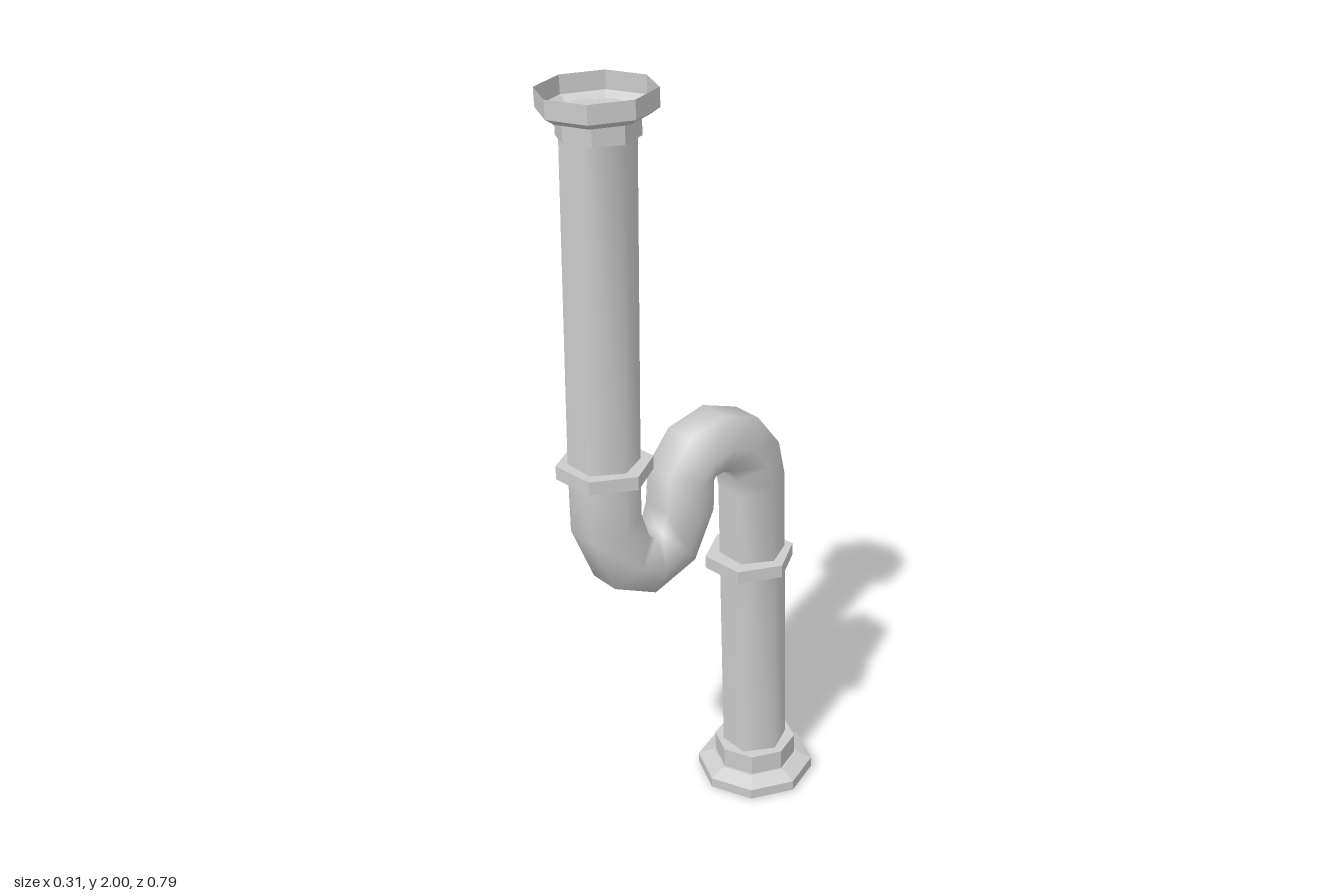
import * as THREE from 'three';

const SIDES = 6;
const PIPE_RADIUS = 0.085;
const LEAN = 0.036;

const smooth = new THREE.MeshStandardMaterial({ color: 0xcccccc, side: THREE.DoubleSide });
const faceted = new THREE.MeshStandardMaterial({ color: 0xcccccc, flatShading: true, side: THREE.DoubleSide });

// Centre line of the pipe as [z, y], from the upper end to the lower end
const path = [
  [0.255, 1.95], [0.26, 1.09], [0.258, 0.94], [0.213, 0.83], [0.14, 0.797], [0.068, 0.825],
  [0.03, 0.91], [0.026, 1.0], [-0.01, 1.045], [-0.075, 1.062], [-0.143, 1.04],
  [-0.19, 0.98], [-0.206, 0.907], [-0.236, 0.04],
].map(([z, y]) => new THREE.Vector3(0.003, y, z));

// Hexagonal section swept along the path in the YZ plane, mitred at each bend
function sweepPipe() {
  const positions = [], index = [];
  const row = SIDES + 1; // one extra column leaves a sharp seam
  const xAxis = new THREE.Vector3(1, 0, 0);
  path.forEach((p, i) => {
    const before = p.clone().sub(path[Math.max(i - 1, 0)]).normalize();
    const after = path[Math.min(i + 1, path.length - 1)].clone().sub(p).normalize();
    const tangent = before.clone().add(after).normalize();
    const side = new THREE.Vector3().crossVectors(tangent, xAxis);
    for (let j = 0; j <= SIDES; j++) {
      const a = ((j + 2) / SIDES) * Math.PI * 2;
      const v = p.clone()
        .addScaledVector(xAxis, Math.cos(a) * PIPE_RADIUS)
        .addScaledVector(side, Math.sin(a) * PIPE_RADIUS * 1.03);
      positions.push(v.x, v.y, v.z);
      if (i > 0 && j < SIDES) {
        const a0 = (i - 1) * row + j, b0 = i * row + j;
        index.push(a0, a0 + 1, b0, a0 + 1, b0 + 1, b0);
      }
    }
  });
  const geometry = new THREE.BufferGeometry();
  geometry.setAttribute('position', new THREE.Float32BufferAttribute(positions, 3));
  // Wind outward: the section runs against the direction of travel
  for (let k = 0; k < index.length; k += 3) [index[k + 1], index[k + 2]] = [index[k + 2], index[k + 1]];
  const p = (n) => new THREE.Vector3().fromArray(positions, n * 3);
  const normal = p(index[1]).sub(p(index[0])).cross(p(index[2]).sub(p(index[0])));
  if (normal.dot(p(0).add(p(1)).multiplyScalar(0.5).sub(path[0])) < 0) {
    for (let k = 0; k < index.length; k += 3) [index[k + 1], index[k + 2]] = [index[k + 2], index[k + 1]];
  }
  geometry.setIndex(index);
  geometry.computeVertexNormals();
  return geometry;
}

function place(group, geometry, material, name, y, z, lean = 0, turn = 0) {
  const mesh = new THREE.Mesh(geometry, material);
  mesh.name = name;
  mesh.position.set(0.003, y, z);
  mesh.rotation.set(lean, turn, 0);
  group.add(mesh);
  return mesh;
}

// Eight-sided open flange, profile given as [radius, height]
const flange = (profile) =>
  new THREE.LatheGeometry(profile.map(([r, y]) => new THREE.Vector2(r, y)), 8);

export function createModel() {
  const group = new THREE.Group();
  group.name = 'drainPipe';

  // Pipe with closed ends
  const pipe = new THREE.Mesh(sweepPipe(), smooth);
  pipe.name = 'pipe';
  group.add(pipe);
  const cap = new THREE.CircleGeometry(PIPE_RADIUS, SIDES);
  place(group, cap, faceted, 'upperPipeEnd', 1.95, 0.255, -Math.PI / 2);
  place(group, cap, faceted, 'lowerPipeEnd', 0.04, -0.236, Math.PI / 2 + LEAN);

  // Joint rings
  const ring = new THREE.CylinderGeometry(0.118, 0.118, 0.034, 6);
  place(group, ring, faceted, 'upperRing', 1.088, 0.258, 0, Math.PI / 6 + 0.08);
  place(group, ring, faceted, 'lowerRing', 0.685, -0.203, LEAN, Math.PI / 6 + 0.08);

  // Upper cup flange, open at the top
  place(group, flange([
    [0.07, 1.89], [0.096, 1.89], [0.096, 1.935], [0.115, 1.937], [0.137, 1.952], [0.137, 1.996],
  ].map(([r, y]) => [r, y - 1.95])), faceted, 'upperFlange', 1.95, 0.256, LEAN);

  // Lower cup flange, open at the bottom
  place(group, flange([
    [0.157, 0.006], [0.157, 0.034], [0.115, 0.052], [0.109, 0.052], [0.109, 0.108], [0.07, 0.108],
  ]), faceted, 'lowerFlange', 0, -0.238, LEAN);

  return group;
}
